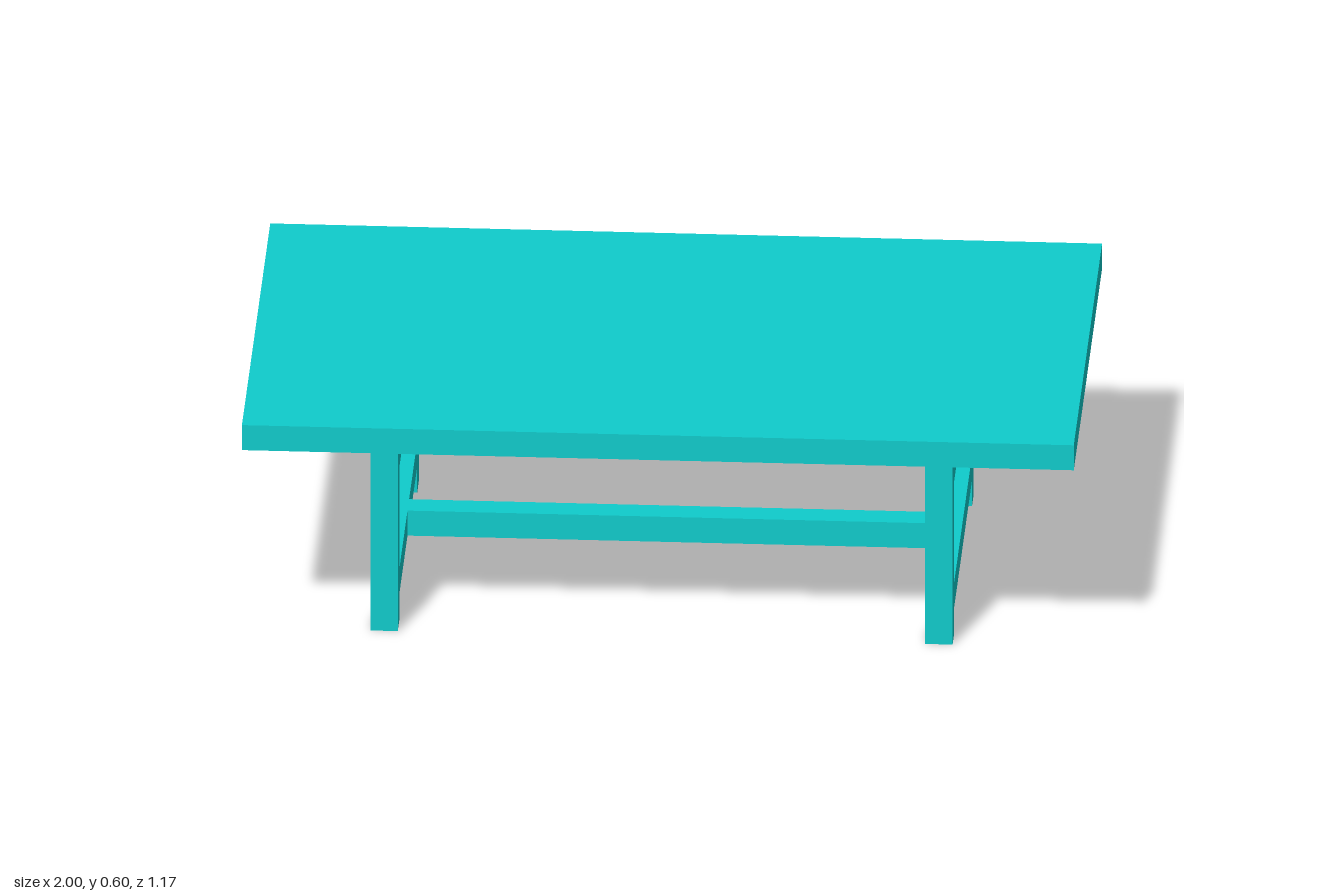
import * as THREE from 'three';

export function createModel() {
  const table = new THREE.Group();
  table.name = 'table';
  const material = new THREE.MeshStandardMaterial({ color: 0x0fcccc, flatShading: true });

  const T = 0.066;                     // thickness of every timber
  const legX = 0.667, legZ = 0.401;    // leg centres
  const height = 0.602, topY = height - T;
  const lowY = 0.102, highY = 0.435;   // rail centres

  const box = (name, w, h, d, x, y, z) => {
    const mesh = new THREE.Mesh(new THREE.BoxGeometry(w, h, d), material);
    mesh.name = name;
    mesh.position.set(x, y, z);
    table.add(mesh);
  };

  box('tableTop', 2, T, 1.166, 0, topY + T / 2, 0);

  // Two end frames: a pair of legs joined by a lower and an upper rail
  for (const [side, sx] of [['left', 1], ['right', -1]]) {
    for (const [end, sz] of [['Front', 1], ['Back', -1]]) {
      box(`${side}${end}Leg`, T, topY, T, sx * legX, topY / 2, sz * legZ);
    }
    box(`${side}LowerRail`, T, T, 2 * legZ - T, sx * legX, lowY, 0);
    box(`${side}UpperRail`, T, T, 2 * legZ - T, sx * legX, highY, 0);
  }

  // Long stretchers between the end frames: one low, two high
  const span = 2 * legX - T;
  box('lowerStretcher', span, T, T, 0, lowY, 0);
  box('frontUpperStretcher', span, T, T, 0, highY, 0.134);
  box('backUpperStretcher', span, T, T, 0, highY, -0.134);

  return table;
}
